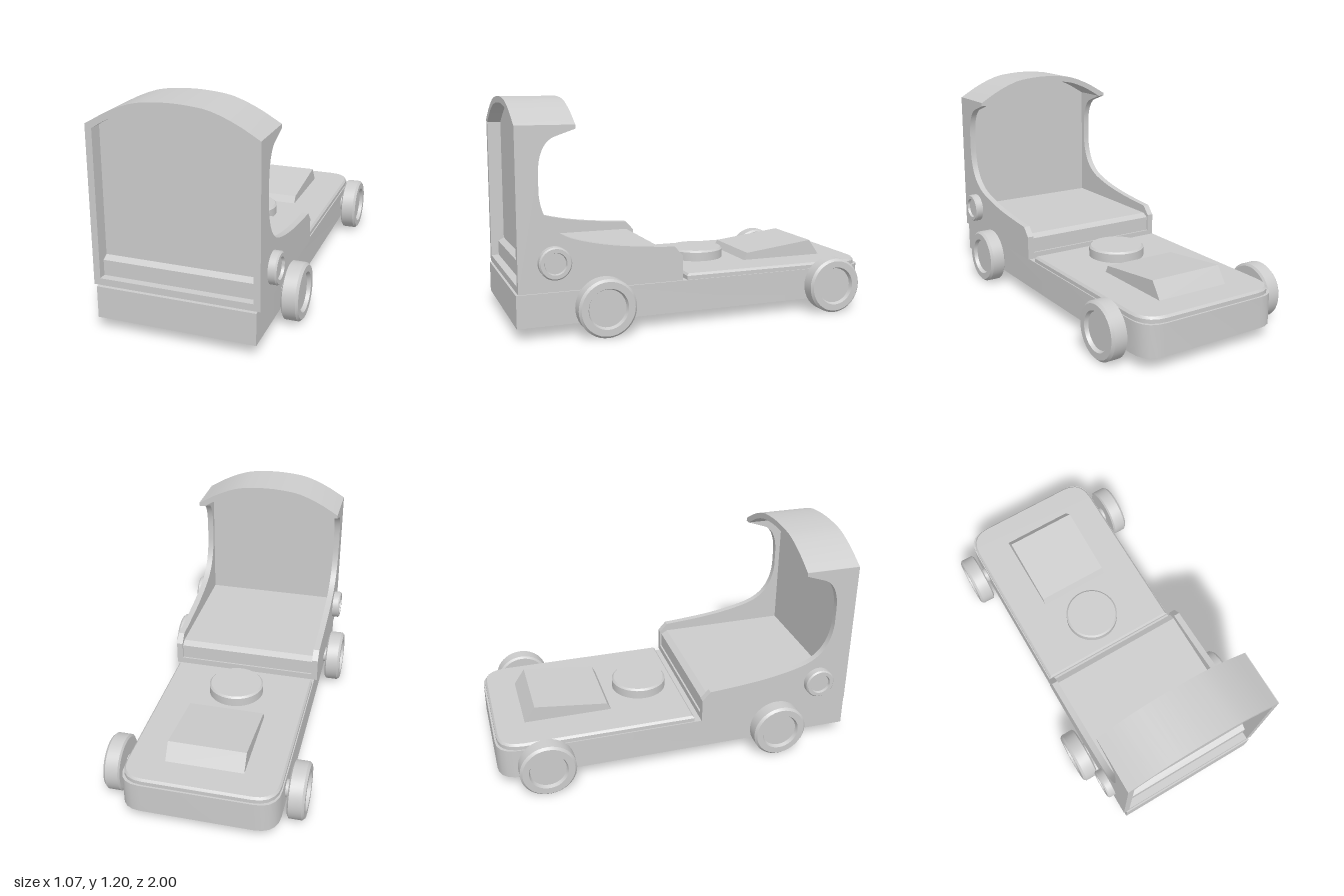
import * as THREE from 'three';
import { toCreasedNormals } from 'three/addons/utils/BufferGeometryUtils.js';

const grey = new THREE.MeshStandardMaterial({ color: 0xcccccc });
const CREASE = 0.5;

function mesh(name, geometry, parent) {
  const m = new THREE.Mesh(toCreasedNormals(geometry, CREASE), grey);
  m.name = name;
  parent.add(m);
  return m;
}

const vectors = (points) => points.map(([a, b]) => new THREE.Vector2(a, b));

function box(name, parent, w, y0, y1, z0, z1) {
  const m = mesh(name, new THREE.BoxGeometry(w, y1 - y0, z1 - z0), parent);
  m.position.set(0, (y0 + y1) / 2, (z0 + z1) / 2);
  return m;
}

// Side profile given as (z, y), extruded across x and centred on the given x
function acrossX(name, parent, shape, width, x = 0) {
  const g = new THREE.ExtrudeGeometry(shape, { depth: width, bevelEnabled: false });
  g.translate(0, 0, -width / 2).rotateY(-Math.PI / 2);
  mesh(name, g, parent).position.x = x;
}

// Plan outline with straight front and rounded rear corners
function plan(half, front, rear) {
  const s = new THREE.Shape();
  s.moveTo(-half, front);
  s.lineTo(-half, rear + 0.13);
  s.quadraticCurveTo(-half, rear, -half + 0.12, rear);
  s.lineTo(half - 0.12, rear);
  s.quadraticCurveTo(half, rear, half, rear + 0.13);
  s.lineTo(half, front);
  s.closePath();
  return s;
}

// Symmetric arch, listed from its right end to its crown
function arch(half) {
  const left = half.slice(0, -1).reverse().map(([x, y]) => [-x, y]);
  return new THREE.SplineCurve(vectors([...half, ...left])).getPoints(20);
}

// Round part turned around y, later laid along x
function round(name, parent, profile, x, y, z) {
  const m = mesh(name, new THREE.LatheGeometry(vectors(profile), 40), parent);
  m.position.set(x, y, z);
  m.rotation.z = -Math.sign(x) * Math.PI / 2;
}

export function createModel() {
  const model = new THREE.Group();
  model.name = 'cart';

  // Chassis and raised rear deck
  const base = new THREE.ExtrudeGeometry(plan(0.418, 1, -1),
    { depth: 0.17, bevelEnabled: false, curveSegments: 5 });
  mesh('chassis', base.rotateX(Math.PI / 2), model).position.y = 0.235;
  const deck = new THREE.ExtrudeGeometry(plan(0.402, 0.08, -0.98), {
    depth: 0.05, bevelThickness: 0.012, bevelSize: 0.01, bevelSegments: 1, curveSegments: 5,
  });
  mesh('rearDeck', deck.rotateX(Math.PI / 2), model).position.y = 0.256;

  // Round cap and wedge on the deck
  const cap = mesh('deckCap', new THREE.LatheGeometry(vectors(
    [[0.155, 0], [0.155, 0.05], [0.145, 0.06], [0, 0.06]]), 40), model);
  cap.position.set(0, 0.267, -0.125);
  acrossX('deckWedge', model, new THREE.Shape(vectors(
    [[-0.335, 0.26], [-0.36, 0.308], [-0.765, 0.355], [-0.83, 0.26]])), 0.42);

  // Cab: two cut-out side walls
  const cab = new THREE.Group();
  cab.name = 'cab';
  model.add(cab);
  const wall = new THREE.Shape();
  wall.moveTo(0.992, 0.242);
  wall.lineTo(0.992, 1.07);
  wall.lineTo(0.69, 1.07);
  wall.lineTo(0.69, 1.05);
  wall.lineTo(0.8, 1.012);
  wall.bezierCurveTo(0.85, 0.99, 0.88, 0.93, 0.88, 0.83);
  wall.lineTo(0.88, 0.74);
  wall.bezierCurveTo(0.87, 0.6, 0.8, 0.53, 0.7, 0.5);
  wall.bezierCurveTo(0.55, 0.455, 0.4, 0.44, 0.17, 0.425);
  wall.lineTo(0.125, 0.375);
  wall.lineTo(0.125, 0.242);
  wall.closePath();
  for (const side of [-1, 1]) acrossX('sideWall', cab, wall, 0.035, side * 0.4175);

  // Arched roof
  const outer = arch([[0.435, 1.068], [0.32, 1.134], [0.2, 1.182], [0.1, 1.198], [0, 1.203]]);
  const inner = arch([[0.4, 1.05], [0.3, 1.108], [0.2, 1.148], [0.1, 1.165], [0, 1.17]]);
  const roof = new THREE.Shape([...outer, ...inner.slice().reverse()]);
  const roofMesh = mesh('roof', new THREE.ExtrudeGeometry(roof,
    { depth: 0.302, bevelEnabled: false }), cab);
  roofMesh.position.z = 0.69;

  // Recessed front panel
  const panel = new THREE.Shape([...inner, ...vectors([[-0.4, 0.27], [0.4, 0.27]])]);
  const panelMesh = mesh('frontPanel', new THREE.ExtrudeGeometry(panel,
    { depth: 0.01, bevelEnabled: false }), cab);
  panelMesh.position.z = 0.908;

  // Sill, thin joint to the chassis and chamfered floor
  box('cabSill', cab, 0.8, 0.242, 0.278, 0.125, 0.992);
  box('cabJoint', cab, 0.81, 0.23, 0.245, 0.15, 0.97);
  acrossX('cabFloor', cab, new THREE.Shape(vectors([[0.135, 0.27], [0.135, 0.36], [0.17, 0.38],
    [0.915, 0.38], [0.95, 0.36], [0.95, 0.27]])), 0.8);

  // Wheels, axles and side lamps
  const tyre = [[0, 0], [0.14, 0], [0.152, 0.008], [0.152, 0.077], [0.14, 0.09],
    [0.105, 0.09], [0.097, 0.07], [0, 0.07]];
  const lamp = [[0, -0.01], [0.083, -0.01], [0.083, 0.036], [0.076, 0.044],
    [0.057, 0.044], [0.053, 0.03], [0, 0.03]];
  for (const z of [0.56, -0.75]) {
    const axle = mesh('axle', new THREE.CylinderGeometry(0.046, 0.046, 0.92, 24), model);
    axle.rotation.z = Math.PI / 2;
    axle.position.set(0, 0.154, z);
    for (const side of [-1, 1]) round('wheel', model, tyre, side * 0.444, 0.154, z);
  }
  for (const side of [-1, 1]) round('sideLamp', cab, lamp, side * 0.434, 0.392, 0.81);

  return model;
}
